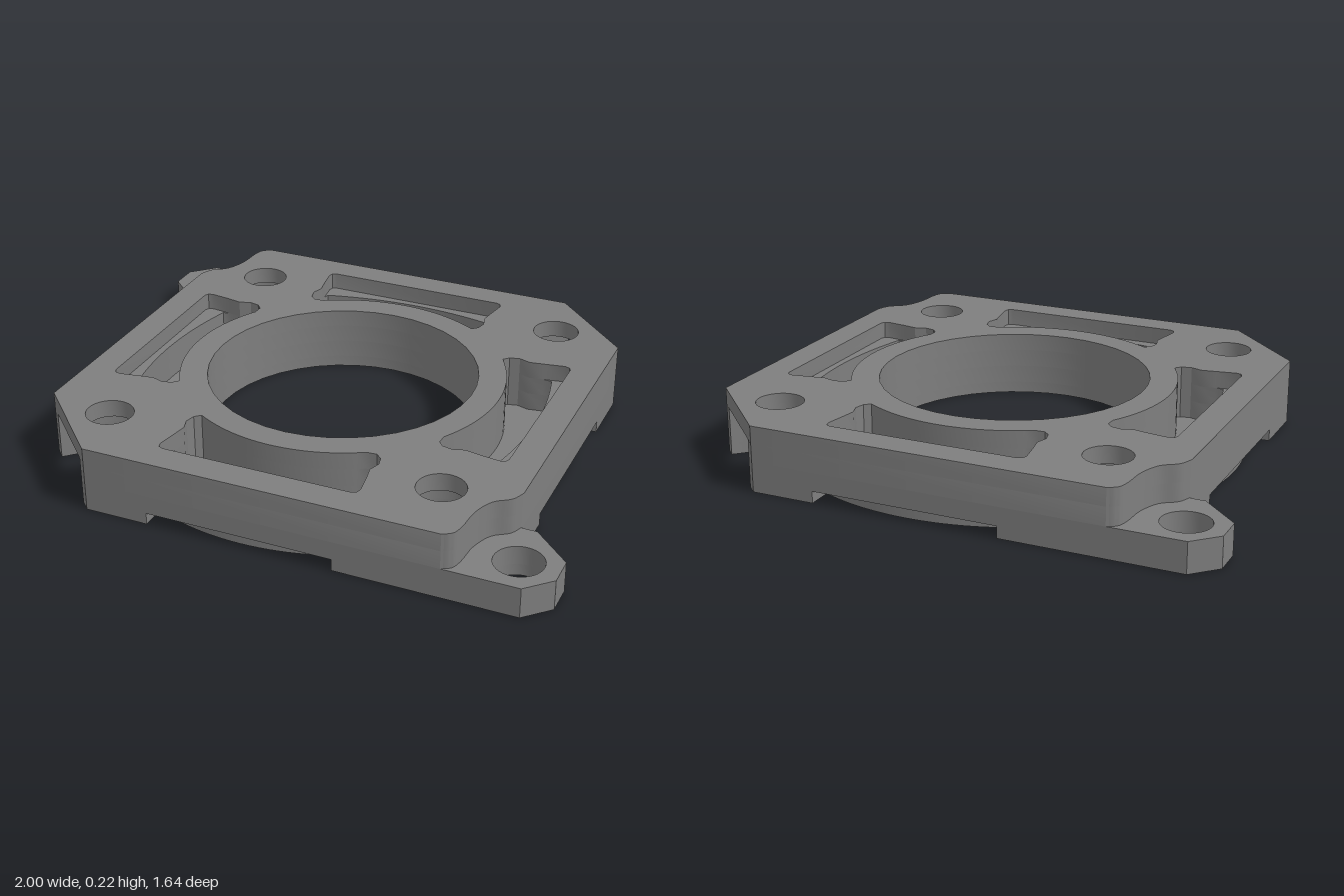
import * as THREE from 'three';
import { toCreasedNormals } from 'three/addons/utils/BufferGeometryUtils.js';

const negate = pts => pts.map(([x, z]) => [-x, -z]);
const swap = pts => pts.map(([x, z]) => [z, x]);
const toVectors = pts => pts.map(([x, z]) => new THREE.Vector2(x, -z));

// Points from x0 to x1 where z = f(x)
function sweep(x0, x1, f, n = 20) {
  return Array.from({ length: n + 1 }, (_, i) => {
    const x = x0 + (x1 - x0) * i / n;
    return [x, f(x)];
  });
}

function circle(x, z, r, n = 36) {
  return Array.from({ length: n }, (_, i) => {
    const a = i / n * Math.PI * 2;
    return [x + r * Math.cos(a), z + r * Math.sin(a)];
  });
}

// Round-ended slot opening through a chamfered corner
function cornerSlot() {
  const c = 0.58, r = 0.155, out = 0.142, h = Math.SQRT1_2;
  const at = (u, v) => [-c + (v - u) * h, c + (u + v) * h];
  const pts = [at(out, -r)];
  for (let i = 0; i <= 18; i++) {
    const a = Math.PI * i / 18;
    pts.push(at(-r * Math.sin(a), -r * Math.cos(a)));
  }
  return [...pts, at(out, r)];
}

// Shallow relief in the lower edge of a side, bounded by an arc
function edgeRelief() {
  return [[-0.32, 0.82], ...sweep(-0.32, 0.32, x => Math.sqrt(0.64 - x * x)), [0.32, 0.82]];
}

// Plate outline: one half, repeated by a half turn
function outline({ slot, relief, ear }) {
  const notch = new THREE.CatmullRomCurve3([[0.67, 0.82], [0.70, 0.80], [0.712, 0.76], [0.72, 0.67],
    [0.75, 0.595], [0.80, 0.555], [0.82, 0.51]].map(([x, z]) => new THREE.Vector3(x, 0, z)))
    .getPoints(24).map(p => [p.x, p.z]);
  const lug = [[0.92, 0.82], [1, 0.74], [1, 0.64], [0.87, 0.515], [0.82, 0.515]];
  const half = [
    [-0.82, 0.54],
    ...(slot ? cornerSlot() : []),
    [-0.54, 0.82],
    ...(relief ? edgeRelief() : []),
    ...(ear ? lug : notch),
    ...(relief ? swap(edgeRelief()).reverse() : []),
  ];
  return [...half, ...negate(half)];
}

// Curved recess beside the bore, with or without the straight outer shelf
function pocket(shelf) {
  const outer = shelf
    ? [[-0.33, 0.69], [-0.325, 0.708], [-0.31, 0.715], [0.34, 0.715], [0.355, 0.708], [0.36, 0.69]]
    : sweep(-0.315, 0.345, x => 0.69 - 0.4 * x * x);
  return [
    ...outer,
    [0.35, 0.62], [0.34, 0.57], [0.353, 0.53], [0.345, 0.495], [0.325, 0.477],
    ...sweep(0.29, -0.27, x => Math.sqrt(0.3136 - x * x)),
    [-0.295, 0.477], [-0.315, 0.495], [-0.323, 0.53], [-0.31, 0.57], [-0.318, 0.62],
  ];
}

function pockets(shelf) {
  const p = pocket(shelf);
  return [p, swap(p), negate(p), negate(swap(p))];
}

function slab(y0, y1, edge, holes) {
  const shape = new THREE.Shape(toVectors(edge));
  for (const h of holes) shape.holes.push(new THREE.Path(toVectors(h)));
  const geo = new THREE.ExtrudeGeometry(shape, { depth: y1 - y0, bevelEnabled: false });
  geo.rotateX(-Math.PI / 2);
  geo.translate(0, y0, 0);
  return toCreasedNormals(geo, 0.5);
}

export function createModel() {
  const group = new THREE.Group();
  group.name = 'mountingPlate';
  const grey = new THREE.MeshStandardMaterial({ color: 0x7e7e7e });
  grey.name = 'grey';

  const bore = circle(0, 0, 0.465, 40);
  const pair = (p, r) => [circle(p[0], p[1], r), circle(-p[0], -p[1], r)];
  const earHoles = pair([0.87, 0.69], 0.08);
  const counterbores = pair([0.58, 0.58], 0.13);
  const screwHoles = [...pair([0.58, 0.58], 0.08), ...pair([-0.58, 0.58], 0.08)];

  const add = (name, ...args) => {
    const mesh = new THREE.Mesh(slab(...args), grey);
    mesh.name = name;
    group.add(mesh);
  };

  // Base with ears and edge reliefs
  add('baseLayer', 0, 0.04, outline({ slot: true, relief: true, ear: true }),
    [bore, ...counterbores, ...earHoles]);
  // Upper part of the ears, floor of the pockets below it
  add('earLayer', 0.04, 0.103, outline({ slot: true, ear: true }),
    [bore, ...counterbores, ...earHoles, ...pockets(false)]);
  // Body above the ears
  add('middleLayer', 0.103, 0.165, outline({ slot: true }),
    [bore, ...counterbores, ...pockets(false)]);
  // Top face with screw holes and wide pocket mouths
  add('topLayer', 0.165, 0.225, outline({}),
    [bore, ...screwHoles, ...pockets(true)]);

  return group;
}
